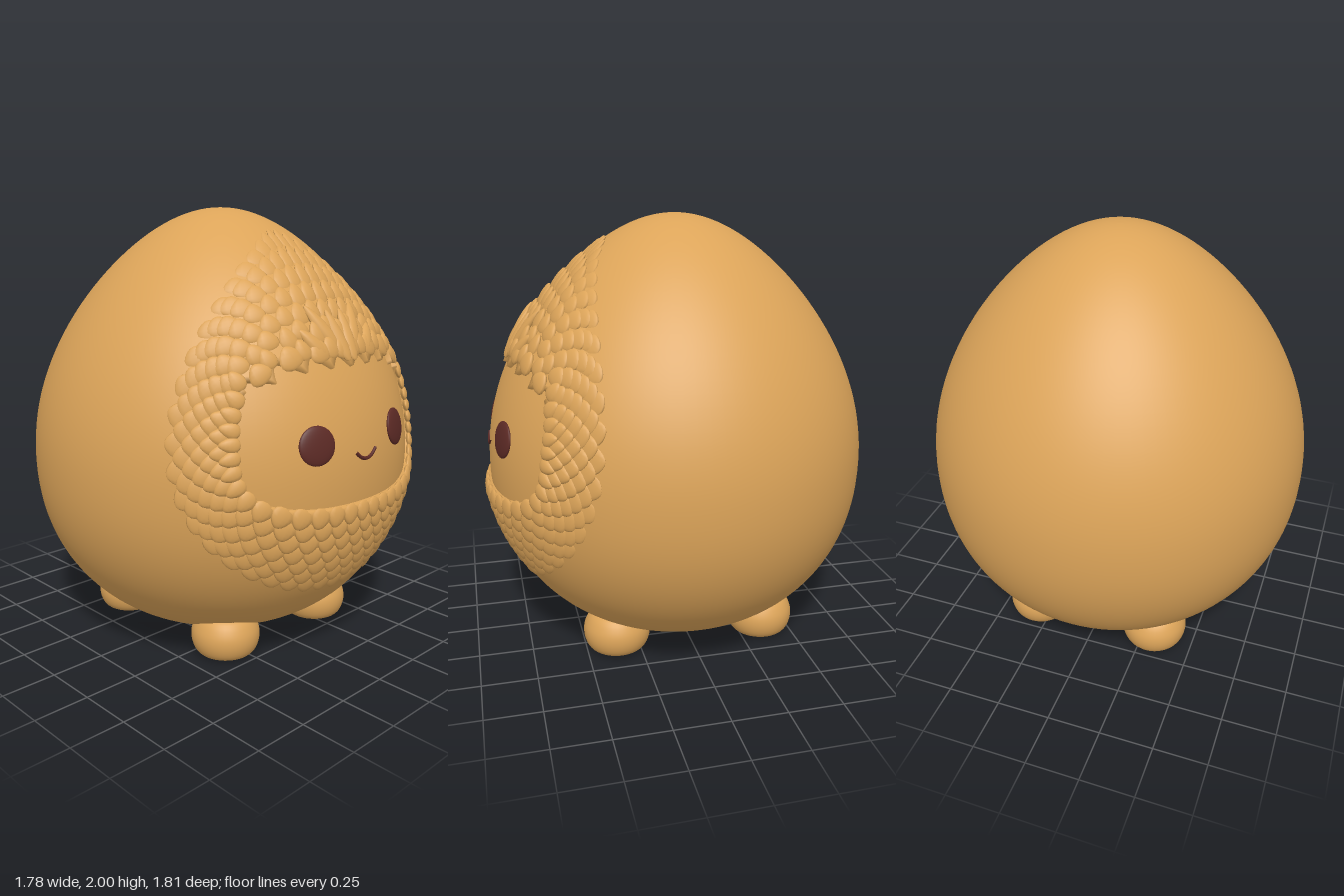
import * as THREE from 'three';
import { mergeGeometries } from 'three/addons/utils/BufferGeometryUtils.js';

const V = (x, y, z) => new THREE.Vector3(x, y, z);
const { lerp } = THREE.MathUtils;

// Egg radius at height y
function eggRadius(y) {
  if (y >= 0.88) {
    const s = Math.min((y - 0.88) / 1.12, 1);
    return 0.89 * Math.sqrt(1 - s * s) * (1 - 0.2 * s * s);
  }
  const s = Math.min((0.88 - y) / 0.86, 1);
  return 0.89 * Math.pow(1 - Math.pow(s, 2.2), 1 / 2.2);
}

// Outward normal and point on the egg; u is the arc around it, y the height, h the lift
function eggNormal(u, y) {
  const slope = (eggRadius(y + 0.005) - eggRadius(y - 0.005)) / 0.01;
  return V(Math.sin(u / 0.88), -slope, Math.cos(u / 0.88)).normalize();
}
function onEgg(u, y, h = 0) {
  const r = eggRadius(y);
  return V(r * Math.sin(u / 0.88), y, r * Math.cos(u / 0.88)).addScaledVector(eggNormal(u, y), h);
}
const arcFor = (x, y) => 0.88 * Math.asin(x / eggRadius(y));

// Outline around the face: t = 0 at the face edge, t = 1 at the outer edge of the plumage
function outline(alpha, t) {
  const phi = Math.atan2(lerp(0.6, 1, t) * Math.sin(alpha), Math.cos(alpha));
  const c = Math.cos(phi), s = Math.sin(phi);
  const a = lerp(0.61, 0.86, t);
  const b = s > 0 ? lerp(0.29, 0.8, t) : lerp(0.29, 0.7, t);
  const n = lerp(3.4, 2, t);
  let r = Math.pow(Math.pow(Math.abs(c) / a, n) + Math.pow(Math.abs(s) / b, n), -1 / n);
  // jagged fringe over the brow
  if (Math.sin(alpha) > 0.5) {
    const saw = Math.abs((((alpha * 11) / Math.PI) % 1) * 2 - 1);
    r *= 1 + 0.2 * (saw - 0.5) * Math.pow(1 - t, 4);
  }
  return [r * c, 1.08 + r * s];
}
const lift = (t) => 0.022 * (1 - t) - 0.004 * t;

// Raised collar with a small lip around the face
function collarGeometry() {
  const seg = 264, rows = 14, pos = [], idx = [];
  for (let i = 0; i <= seg; i++) {
    for (let j = 0; j <= rows; j++) {
      const t = Math.max(0, (j - 1) / (rows - 1));
      const p = onEgg(...outline((i / seg) * Math.PI * 2, t), j === 0 ? -0.02 : lift(t));
      pos.push(p.x, p.y, p.z);
      if (i < seg && j < rows) {
        const a = i * (rows + 1) + j, d = a + rows + 1;
        idx.push(a, a + 1, d + 1, a, d + 1, d);
      }
    }
  }
  const g = new THREE.BufferGeometry();
  g.setAttribute('position', new THREE.Float32BufferAttribute(pos, 3));
  g.setIndex(idx);
  g.computeVertexNormals();
  return g;
}

// One feather: a flattened ball tapering to its tip at +y
const featherBase = new THREE.SphereGeometry(1, 12, 8);
{
  const p = featherBase.attributes.position;
  for (let i = 0; i < p.count; i++) p.setX(i, p.getX(i) * (1 - 0.3 * p.getY(i)));
  featherBase.computeVertexNormals();
}
function feather(center, normal, dir, width, length, thick, tilt = 0.12) {
  const y = dir.clone().addScaledVector(normal, -dir.dot(normal)).normalize()
    .addScaledVector(normal, tilt).normalize();
  const x = y.clone().cross(normal).normalize();
  const z = x.clone().cross(y);
  const m = new THREE.Matrix4().makeBasis(
    x.multiplyScalar(width), y.multiplyScalar(length), z.multiplyScalar(thick));
  return featherBase.clone().applyMatrix4(m.setPosition(center));
}

// Staggered rings of feathers, plus brow tufts at the parting
function plumageGeometry() {
  const parts = [], rings = 7, count = 46, step = (Math.PI * 2) / count;
  for (let k = 0; k < rings; k++) {
    const t = 0.09 + (0.86 * k) / (rings - 1);
    for (let i = 0; i < count; i++) {
      const alpha = (i + (k % 2) / 2) * step;
      const uy = outline(alpha, t);
      const p = onEgg(...uy, lift(t));
      const dir = onEgg(...outline(alpha, t + 0.07)).sub(onEgg(...outline(alpha, t - 0.07)));
      const gap = onEgg(...outline(alpha + step / 2, t))
        .distanceTo(onEgg(...outline(alpha - step / 2, t)));
      const len = Math.max(0.045, dir.length() * 0.62);
      parts.push(feather(p, eggNormal(...uy), dir, Math.min(gap * 0.56, 0.055), len, lerp(0.017, 0.01, t)));
    }
  }
  for (const side of [-1, 1]) {
    for (const [x, y, lean, len] of [[0.03, 1.46, 0.12, 0.12], [0.1, 1.5, 0.5, 0.11], [0.17, 1.44, 0.8, 0.08]]) {
      const u = arcFor(side * x, y);
      parts.push(feather(onEgg(u, y, 0.02), eggNormal(u, y), V(side * lean, 1, -0.6), 0.032, len, 0.02, 0.02));
    }
  }
  return mergeGeometries(parts);
}

export function createModel() {
  const group = new THREE.Group();
  const tan = new THREE.MeshStandardMaterial({ color: 0xdca459 });
  tan.name = 'warm tan';
  const brown = new THREE.MeshStandardMaterial({ color: 0x5c2a25 });
  brown.name = 'dark brown';
  const add = (name, geometry, material) => {
    const mesh = new THREE.Mesh(geometry, material);
    mesh.name = name;
    group.add(mesh);
    return mesh;
  };

  // Egg-shaped body with a flattened base
  const profile = [new THREE.Vector2(0, 0.03)];
  for (let i = 1; i <= 64; i++) {
    const y = 1.01 - 0.99 * Math.cos((i / 64) * Math.PI);
    if (y > 0.031) profile.push(new THREE.Vector2(i === 64 ? 0 : eggRadius(y), y));
  }
  add('body', new THREE.LatheGeometry(profile, 96), tan);

  add('featherCollar', collarGeometry(), tan);
  add('feathers', plumageGeometry(), tan);

  // Eyes
  for (const side of [-1, 1]) {
    const u = arcFor(side * 0.26, 1.055);
    const eye = add(side > 0 ? 'leftEye' : 'rightEye', new THREE.SphereGeometry(1, 32, 16), brown);
    eye.scale.set(0.085, 0.082, 0.018);
    eye.position.copy(onEgg(u, 1.055));
    eye.quaternion.setFromUnitVectors(V(0, 0, 1), eggNormal(u, 1.055));
  }

  // Smile
  const smile = [];
  for (let i = -4; i <= 4; i++) {
    const x = (i / 4) * 0.065, y = 0.968 + 0.035 * (i / 4) ** 2;
    smile.push(onEgg(arcFor(x, y), y));
  }
  add('mouth', new THREE.TubeGeometry(new THREE.CatmullRomCurve3(smile), 24, 0.008, 8), brown);

  // Four stubby feet on the diagonals
  const footCurve = new THREE.SplineCurve([
    [0, 0], [0.09, 0.004], [0.135, 0.025], [0.156, 0.08], [0.148, 0.14], [0.105, 0.195], [0, 0.22],
  ].map(([x, y]) => new THREE.Vector2(x, y)));
  const footProfile = footCurve.getPoints(28).map((p) => new THREE.Vector2(Math.max(p.x, 0), Math.max(p.y, 0)));
  const footGeometry = new THREE.LatheGeometry(footProfile, 40);
  for (const sx of [-1, 1]) for (const sz of [-1, 1]) {
    const foot = add((sz > 0 ? 'front' : 'back') + (sx > 0 ? 'Left' : 'Right') + 'Foot', footGeometry, tan);
    foot.position.set(sx * 0.305, 0, sz * 0.355);
  }
  return group;
}
